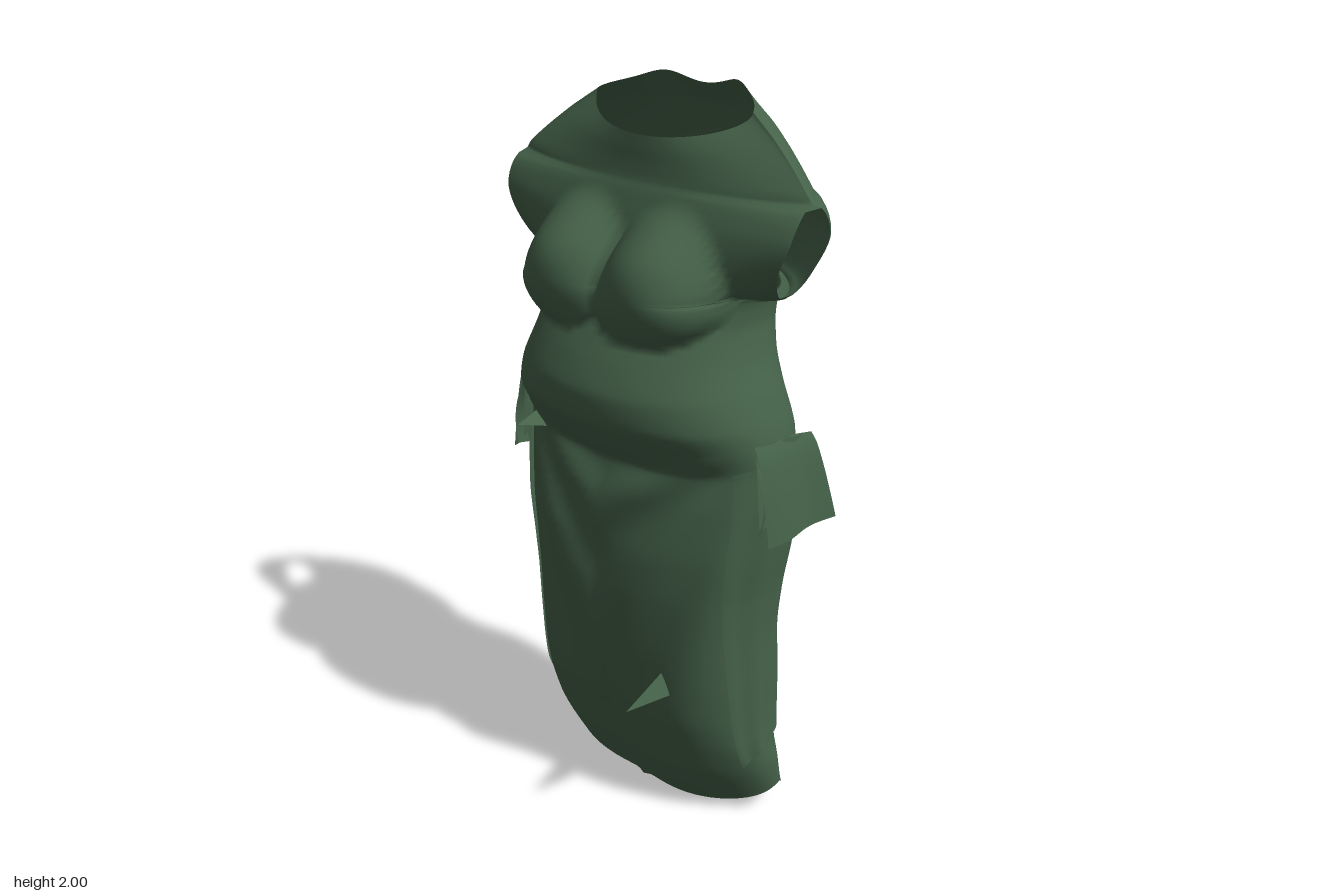
import * as THREE from 'three';
import { mergeVertices } from 'three/addons/utils/BufferGeometryUtils.js';

const HALF = 64; // steps across the front and across the back
const STEPS = 6; // rows between two key sections

// Key sections, hem to neckline: [height at the side, half width, z front, z back]
const KEYS = [
  [0.09, 0.41, 0.05, -0.16],
  [0.18, 0.412, 0.125, -0.205],
  [0.32, 0.4, 0.18, -0.225],
  [0.45, 0.395, 0.2, -0.228],
  [0.6, 0.39, 0.215, -0.212],
  [0.72, 0.395, 0.225, -0.235],
  [0.84, 0.41, 0.225, -0.262],
  [0.98, 0.425, 0.205, -0.245],
  [1.1, 0.43, 0.188, -0.24],
  [1.16, 0.425, 0.232, -0.247],
  [1.21, 0.412, 0.28, -0.242],
  [1.28, 0.385, 0.285, -0.232],
  [1.36, 0.352, 0.25, -0.24],
  [1.45, 0.332, 0.195, -0.265],
  [1.525, 0.345, 0.15, -0.288],
  [1.535, 0.42, 0.145, -0.292],
  [1.61, 0.455, 0.12, -0.305],
  [1.69, 0.49, 0.095, -0.312],
  [1.775, 0.492, 0.06, -0.303],
  [1.84, 0.425, 0.05, -0.28],
  [1.9, 0.345, 0.045, -0.25],
  [1.95, 0.265, 0.04, -0.2],
];

const clamp = (v) => Math.max(0, Math.min(1, v));
const bump = (v, width) => Math.exp(-((v / width) ** 2));

// Smooth section at a fractional key index
function section(t) {
  const i = Math.min(Math.floor(t), KEYS.length - 2), f = t - i, f2 = f * f, f3 = f2 * f;
  const at = (k) => KEYS[Math.max(0, Math.min(KEYS.length - 1, k))];
  return KEYS[i].map((b, c) => {
    const d = at(i + 1)[c], m0 = (d - at(i - 1)[c]) * 0.35, m1 = (at(i + 2)[c] - b) * 0.35;
    return (2 * f3 - 3 * f2 + 1) * b + (f3 - 2 * f2 + f) * m0 + (3 * f2 - 2 * f3) * d + (f3 - f2) * m1;
  });
}

// Half depth of the arm opening at a height
const armGap = (y) => 0.08 * Math.sqrt(Math.sin(Math.PI * clamp((y - 1.535) / 0.24)));

// Point on the dress; side is +1 for front and -1 for back, a runs 0 (left) to PI (right)
function dressPoint(t, a, side) {
  const [yS, w, zF, zB] = section(t);
  const s = Math.max(0, Math.sin(a)), x = w * Math.cos(a), ax = Math.abs(x);
  // hem, waist seam and neckline dip or rise away from the sides
  const hem = clamp((0.24 - yS) / 0.15), waist = bump(yS - 1.13, 0.07), neck = clamp((yS - 1.75) / 0.2);
  let y = yS + s * (side > 0 ? -0.09 * hem - 0.04 * waist - 0.07 * neck : -0.07 * hem + 0.02 * waist + 0.04 * neck);
  const start = -0.02 - 0.33 * Math.max(0, yS - 1.8) - 0.08 * hem + side * armGap(yS);
  // sections taper towards the sleeves above the armpit
  const taper = 0.85 + 0.75 * clamp((yS - 1.525) / 0.01);
  let z = start + ((side > 0 ? zF : zB) - start) * Math.pow(s, taper);
  // folds radiating from the hip knots
  if (y < 1.18) {
    const dx = 0.46 - ax, dy = 1.2 - y;
    const fade = Math.min(1, Math.hypot(dx, dy) * 2.5) * Math.min(1, (1.18 - y) * 6) * s;
    z += side * 0.011 * fade * Math.sin(Math.atan2(dy, dx) * 15 + (side > 0 ? 0 : 1));
  }
  // narrow pleat at the lower centre
  z += side * 0.014 * bump(x - 0.015, 0.016) * clamp((0.3 - y) * 15);
  if (side > 0) {
    // bust, easing into the chest above and rounding under sharply
    const bx = (ax - 0.145) / 0.175, by = (y - 1.515) / (y < 1.515 ? 0.11 : 0.22), k = 1 - bx * bx - by * by;
    if (k > 0) z += Math.max(0, 0.252 - z) * Math.pow(k, 0.5 + clamp(by));
  } else {
    // spine hollow and raised collar points
    z += 0.007 * bump(x, 0.07) * clamp((y - 1.3) * 8);
    y += 0.2 * Math.max(0, y - 1.9) * (bump(ax - 0.13, 0.06) - 0.5 * bump(x, 0.07));
  }
  return [x, y, z];
}

function finish(points, index) {
  let g = new THREE.BufferGeometry();
  g.setAttribute('position', new THREE.Float32BufferAttribute(points, 3));
  g.setIndex(index);
  g = mergeVertices(g, 1e-4);
  g.computeVertexNormals();
  return g;
}

// One open shell: body, skirt and short sleeves, leaving the arm openings uncovered
function dressGeometry() {
  const rows = (KEYS.length - 1) * STEPS, cols = 2 * (HALF + 1), pts = [], idx = [];
  for (let i = 0; i <= rows; i++) {
    for (let j = 0; j < cols; j++) {
      const front = j <= HALF, k = front ? j : cols - 1 - j;
      pts.push(...dressPoint(i / STEPS, (k / HALF) * Math.PI, front ? 1 : -1));
    }
  }
  for (let i = 0; i < rows; i++) {
    const gap = Math.min(armGap(section(i / STEPS)[0]), armGap(section((i + 1) / STEPS)[0]));
    for (let j = 0; j < cols; j++) {
      if ((j === HALF || j === cols - 1) && gap > 0.025) continue;
      const n = (j + 1) % cols, a = i * cols + j, b = a + cols, c = i * cols + n, d = c + cols;
      idx.push(a, b, c, c, b, d);
    }
  }
  return finish(pts, idx);
}

// Thin cloth from a rule f(u, v)
function sheet(f, nu, nv) {
  const pts = [], idx = [];
  for (let i = 0; i <= nv; i++) for (let j = 0; j <= nu; j++) pts.push(...f(j / nu, i / nv));
  for (let i = 0; i < nv; i++) {
    for (let j = 0; j < nu; j++) {
      const a = i * (nu + 1) + j, b = a + nu + 1;
      idx.push(a, b, a + 1, a + 1, b, b + 1);
    }
  }
  return finish(pts, idx);
}

export function createModel() {
  const model = new THREE.Group();
  const cloth = new THREE.MeshStandardMaterial({ color: 0x456249, side: THREE.DoubleSide });
  cloth.name = 'dark green cloth';
  const add = (name, geometry) => {
    const mesh = new THREE.Mesh(geometry, cloth);
    mesh.name = name;
    model.add(mesh);
  };

  add('dress', dressGeometry());

  for (const m of [1, -1]) {
    const word = m > 0 ? 'left' : 'right';
    // long overlapping panel down the side of the skirt, slanting at the bottom
    add(word + 'SidePanel', sheet((u, v) => {
      const b = (u - 0.5) * (1.05 - 0.3 * v), t = 8.3 - (6.6 + 0.5 * u) * v;
      const p = dressPoint(t, Math.abs(b), b > 0 ? 1 : -1);
      const lift = 0.004 + 0.004 * Math.sin(u * 14);
      return [m * (p[0] + lift), p[1], p[2] + b * 0.02];
    }, 20, 36));
    // hanging flap of the knot at the hip
    add(word + 'HipFlap', sheet((u, v) => {
      const z = 0.08 - u * (0.22 + 0.05 * v), wave = Math.sin(u * 7) * 0.008;
      return [m * (0.425 + 0.055 * Math.pow(v, 0.6) + wave), 1.18 - 0.02 * u - v * (0.26 - 0.02 * u), z];
    }, 12, 10));
    // inner layer of the flap
    add(word + 'HipFlapLining', sheet((u, v) => [
      m * (0.425 + 0.02 * v), 1.18 - 0.02 * u - v * 0.22, 0.075 - u * (0.19 + 0.05 * v),
    ], 8, 6));
    // narrow tie end in front of the flap
    add(word + 'TieEnd', sheet((u, v) => [
      m * (0.415 + 0.035 * Math.sin(v * 2.5) + 0.015 * u), 1.14 - 0.2 * v, 0.05 + 0.03 * u + 0.01 * v,
    ], 4, 8));
  }

  // stray pointed cloth corners
  const corner = (name, a, b, tip) => add(name, sheet((u, v) =>
    a.map((p, k) => (p + (b[k] - p) * u) * (1 - v) + tip[k] * v), 2, 2));
  corner('frontCorner', [0.2, 0.48, 0.17], [0.23, 0.42, 0.17], [0.207, 0.425, 0.315]);
  corner('waistCorner', [-0.31, 1.11, 0.1], [-0.24, 1.06, 0.12], [-0.275, 1.09, 0.24]);
  return model;
}
